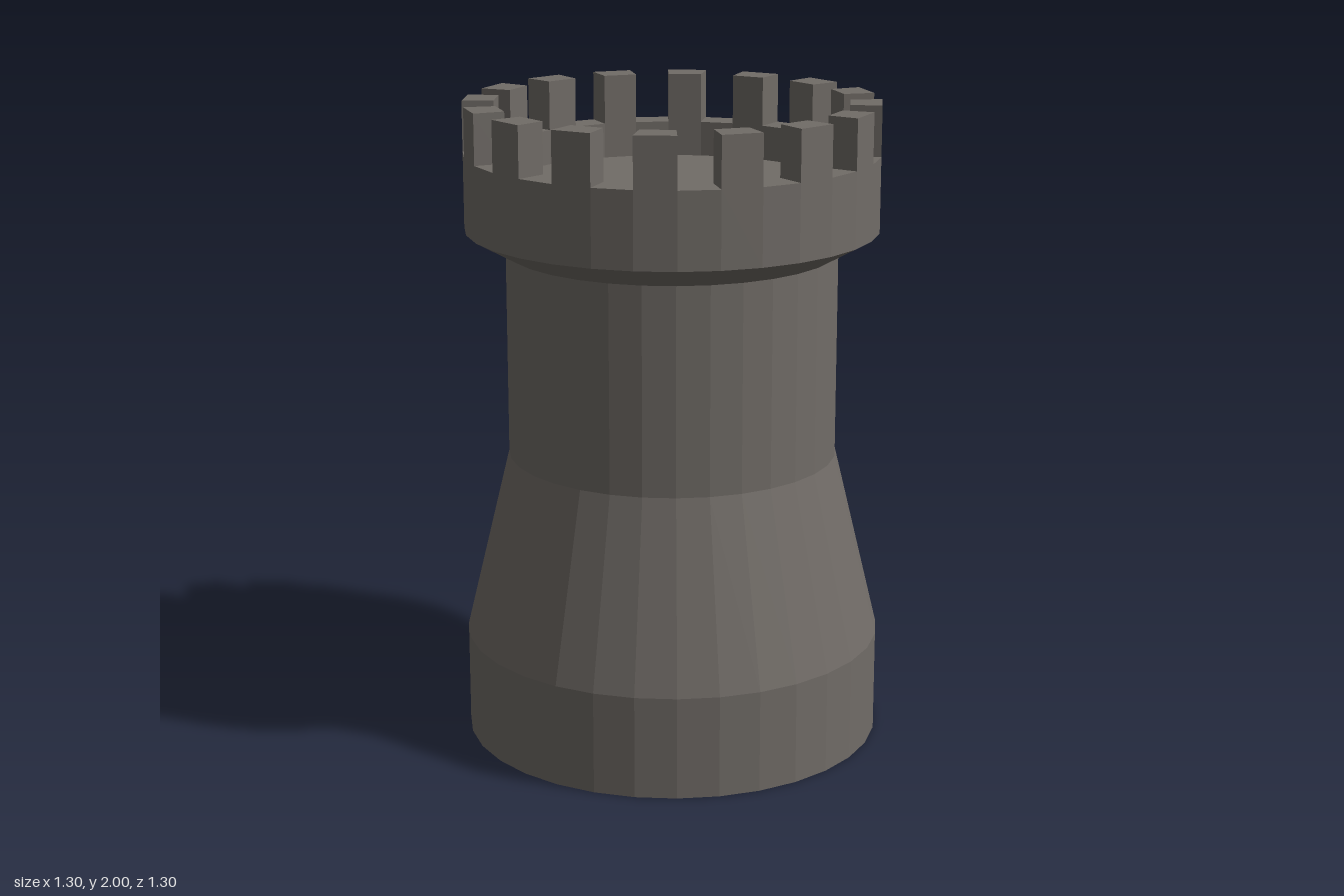
import * as THREE from 'three';

const SIDES = 32;
const STEP = (Math.PI * 2) / SIDES;
const WALL_TOP = 1.845, TOP = 2, FLOOR = 1.735;
const R_OUT = 0.637, R_IN = 0.54, R_NECK = 0.512, R_BASE = 0.652;

export function createModel() {
  const group = new THREE.Group();
  group.name = 'castleTower';

  const stone = new THREE.MeshStandardMaterial({ color: 0x716c67, flatShading: true });
  stone.name = 'stone';

  const add = (name, geometry) => {
    const mesh = new THREE.Mesh(geometry, stone);
    mesh.name = name;
    group.add(mesh);
    return mesh;
  };

  // Faceted ring turned from a [radius, height] profile
  const turned = (name, profile) =>
    add(name, new THREE.LatheGeometry(profile.map(([r, y]) => new THREE.Vector2(r, y)), SIDES));

  turned('base', [[0, 0], [R_BASE, 0], [R_BASE, 0.32]]);
  turned('taperedBody', [[R_BASE, 0.32], [R_NECK, 0.9]]);
  turned('neck', [[R_NECK, 0.9], [R_NECK, 1.542]]);
  turned('corbel', [[R_NECK, 1.542], [R_OUT, 1.612]]);
  turned('parapet', [[R_OUT, 1.612], [R_OUT, WALL_TOP], [R_IN, WALL_TOP], [R_IN, FLOOR]]);
  turned('roofFloor', [[R_IN, FLOOR], [0, FLOOR]]);

  // One merlon fills one facet of the parapet
  const corner = (r, a) => new THREE.Vector2(r * Math.sin(a), -r * Math.cos(a));
  const footprint = new THREE.Shape([
    corner(R_IN, 0), corner(R_OUT, 0), corner(R_OUT, STEP), corner(R_IN, STEP),
  ]);
  const merlonGeometry = new THREE.ExtrudeGeometry(footprint, {
    depth: TOP - WALL_TOP, bevelEnabled: false,
  });
  merlonGeometry.rotateX(-Math.PI / 2);

  // Merlons stand on every second facet
  for (let i = 1; i < SIDES; i += 2) {
    const merlon = add('merlon', merlonGeometry);
    merlon.position.y = WALL_TOP;
    merlon.rotation.y = i * STEP;
  }

  return group;
}
